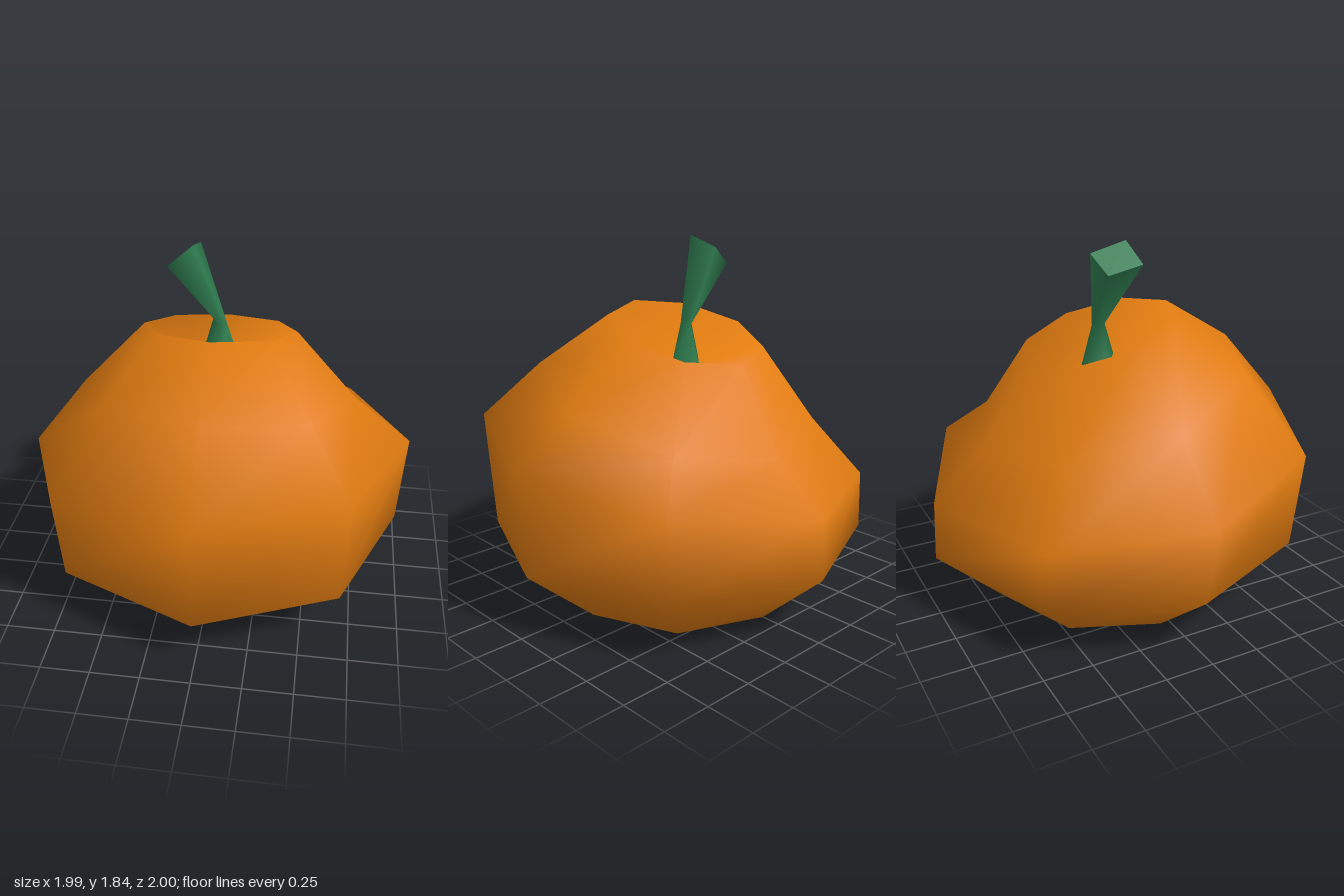
import * as THREE from 'three';

const orange = new THREE.MeshStandardMaterial({ color: 0xe07b10 });
orange.name = 'pumpkinOrange';
const green = new THREE.MeshStandardMaterial({ color: 0x2f7d50 });
green.name = 'stemGreen';

// Ring of n points; its height slopes with x and z
function ring(n, r, y, cz = 0, slopeX = 0, slopeZ = 0) {
  return Array.from({ length: n }, (_, k) => {
    const a = (k / n) * Math.PI * 2;
    const x = r * Math.sin(a), z = r * Math.cos(a);
    return [x, y + slopeX * x + slopeZ * z, cz + z];
  });
}

// Skin a stack of rings, closing the ends with centre points where given
function loft(rings, bottom, top) {
  const n = rings[0].length, points = rings.flat(), index = [];
  for (let i = 0; i < rings.length - 1; i++) {
    for (let k = 0; k < n; k++) {
      const a = i * n + k, b = i * n + (k + 1) % n;
      index.push(a, b, b + n, a, b + n, a + n);
    }
  }
  const cap = (centre, start, flip) => {
    const c = points.push(centre) - 1;
    for (let k = 0; k < n; k++) {
      const a = start + k, b = start + (k + 1) % n;
      index.push(c, flip ? b : a, flip ? a : b);
    }
  };
  if (bottom) cap(bottom, 0, true);
  if (top) cap(top, (rings.length - 1) * n, false);
  const g = new THREE.BufferGeometry();
  g.setAttribute('position', new THREE.Float32BufferAttribute(points.flat(), 3));
  g.setIndex(index);
  g.computeVertexNormals();
  return g;
}

function addMesh(group, name, geometry, material) {
  const mesh = new THREE.Mesh(geometry, material);
  mesh.name = name;
  group.add(mesh);
}

export function createModel() {
  const group = new THREE.Group();
  group.name = 'pumpkin';

  // Lopsided eight-sided body with a sunken crown
  addMesh(group, 'body', loft([
    ring(8, 0.6, 0, -0.05),
    ring(8, 0.972, 0.32, -0.03),
    ring(8, 0.995, 0.76, 0.005, 0.08, 0.14),
    ring(8, 0.705, 1.055, -0.025, 0, 0.287),
    ring(8, 0.39, 1.377, -0.09, 0, 0.288),
  ], [0, 0, -0.05], [0, 1.18, -0.09]), orange);

  // Four-sided stem: flared foot, thin neck, wide tilted tip
  const tip = [[-0.24, 1.74, 0.03], [-0.12, 1.84, 0], [-0.11, 1.79, -0.185], [-0.23, 1.7, -0.15]];
  addMesh(group, 'stem', loft([
    ring(4, 0.095, 1.21, -0.09),
    ring(4, 0.036, 1.41, -0.09, -0.4),
    tip,
  ]), green);
  addMesh(group, 'stemTip', loft([tip], null, [-0.175, 1.768, -0.076]), green);

  return group;
}
